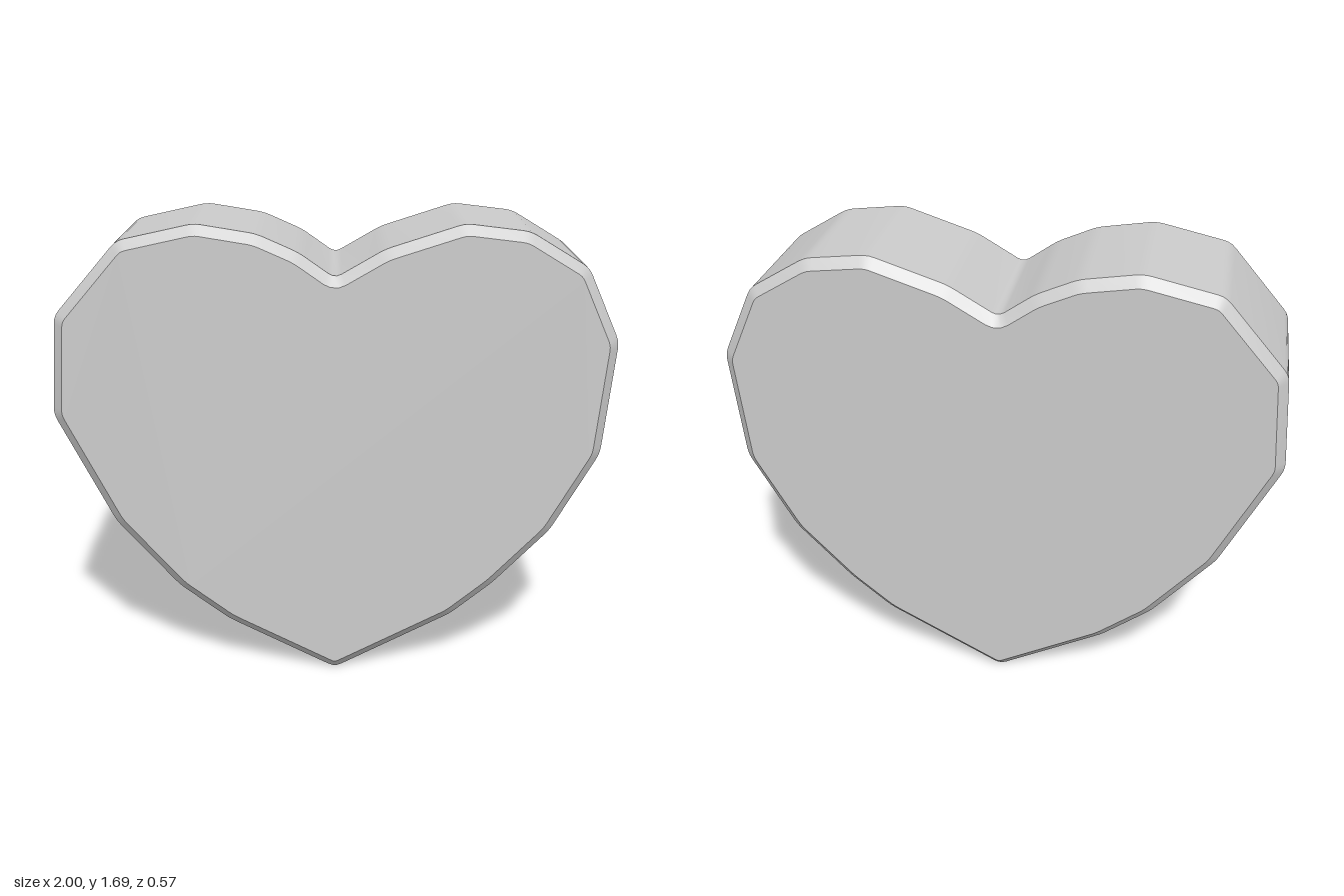
import * as THREE from 'three';
import { toCreasedNormals } from 'three/addons/utils/BufferGeometryUtils.js';

// Hand-cut heart outline, counterclockwise from the bottom tip
const corners = [
  [0.003, -0.007], [0.44, 0.222], [0.594, 0.35], [0.797, 0.564], [0.963, 0.864],
  [1.002, 1.28], [0.882, 1.543], [0.674, 1.668], [0.45, 1.695], [0.176, 1.607],
  [0.003, 1.507], [-0.123, 1.596], [-0.267, 1.66], [-0.48, 1.695], [-0.749, 1.636],
  [-0.979, 1.372], [-1.005, 1.013], [-0.802, 0.6], [-0.578, 0.34], [-0.396, 0.2],
].map(([x, y]) => new THREE.Vector2(x, y));

// Polygon whose corners are slightly rounded
function roundedPolygon(points, radius) {
  const shape = new THREE.Shape();
  const toward = (a, b) => a.clone().add(b.clone().sub(a).setLength(radius));
  points.forEach((p, i) => {
    const start = toward(p, points.at(i - 1));
    const end = toward(p, points[(i + 1) % points.length]);
    if (i === 0) shape.moveTo(start.x, start.y);
    else shape.lineTo(start.x, start.y);
    shape.quadraticCurveTo(p.x, p.y, end.x, end.y);
  });
  shape.closePath();
  return shape;
}

export function createModel() {
  const group = new THREE.Group();
  group.name = 'heart';

  // Thick slab with a single chamfer around both faces
  const bevel = 0.035, depth = 0.5;
  const slab = new THREE.ExtrudeGeometry(roundedPolygon(corners, 0.027), {
    depth, curveSegments: 3, bevelEnabled: true, bevelSegments: 1,
    bevelSize: bevel, bevelOffset: -bevel, bevelThickness: bevel,
  });
  slab.translate(0, 0, -depth / 2);
  slab.computeBoundingBox();
  slab.translate(0, -slab.boundingBox.min.y, 0);

  const heart = new THREE.Mesh(
    toCreasedNormals(slab, 0.6),
    new THREE.MeshStandardMaterial({ color: 0xcccccc })
  );
  heart.name = 'heartBody';
  group.add(heart);
  return group;
}
